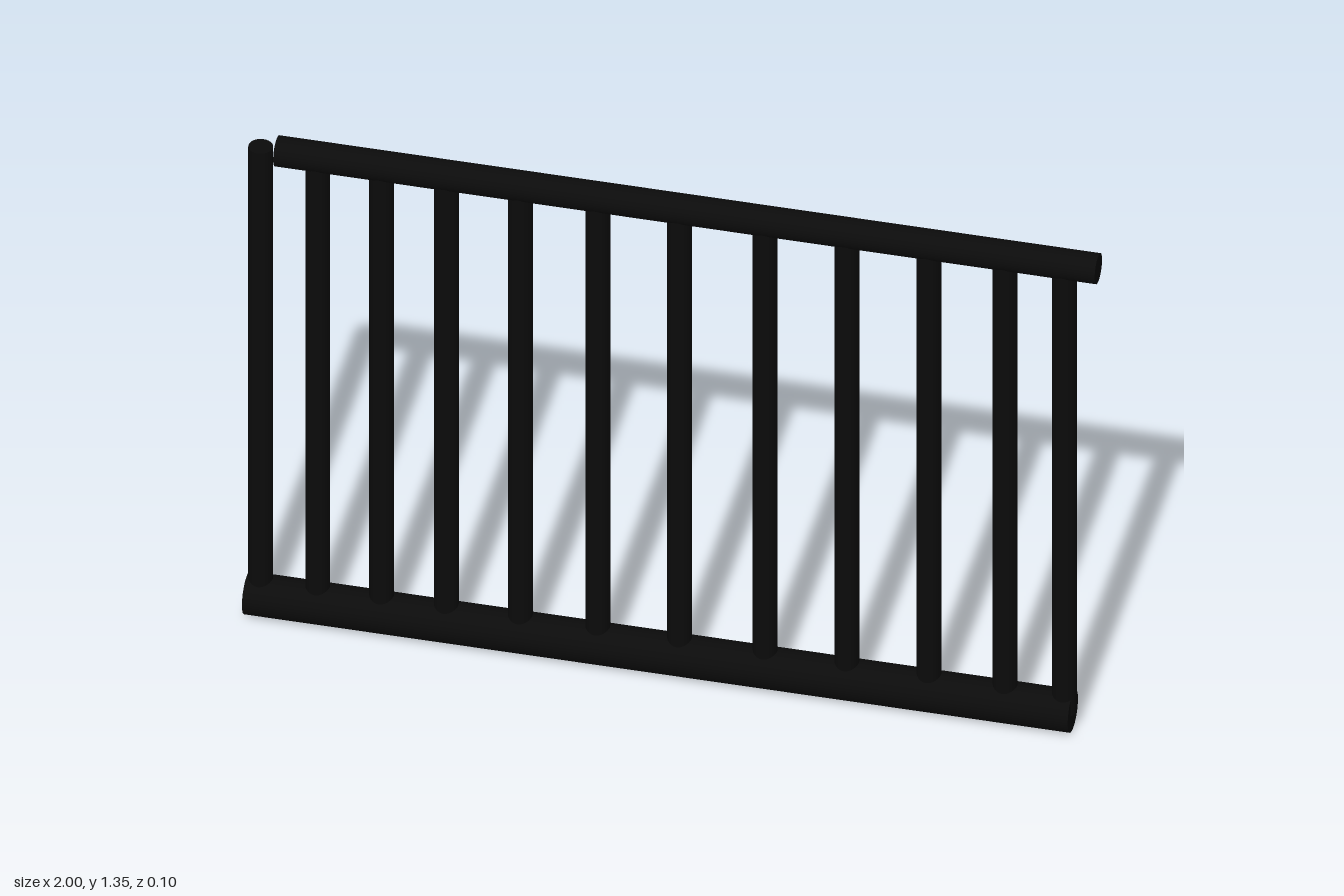
import * as THREE from 'three';

export function createModel() {
  const group = new THREE.Group();
  group.name = 'railing';
  const material = new THREE.MeshStandardMaterial({ color: 0x0b0b0b });

  // Horizontal round bar between two x positions
  function rail(name, x0, x1, y, radius) {
    const geometry = new THREE.CylinderGeometry(radius, radius, x1 - x0, 32);
    geometry.rotateZ(Math.PI / 2);
    const mesh = new THREE.Mesh(geometry, material);
    mesh.name = name;
    mesh.position.set((x0 + x1) / 2, y, 0);
    group.add(mesh);
  }
  rail('bottomRail', -1, 0.94, 0.05, 0.05);
  rail('topRail', -0.93, 1, 1.314, 0.036);

  // Unevenly spaced upright bars, running from the core of one rail to the other
  const bottom = 0.05, top = 1.32;
  const barGeometry = new THREE.CylinderGeometry(0.0285, 0.0285, top - bottom, 24);
  const barX = [-0.968, -0.834, -0.684, -0.532, -0.358, -0.176, 0.016, 0.217, 0.409, 0.602, 0.781, 0.92];
  barX.forEach((x, i) => {
    const bar = new THREE.Mesh(barGeometry, material);
    bar.name = `baluster${i + 1}`;
    bar.position.set(x, (bottom + top) / 2, 0);
    group.add(bar);
  });

  return group;
}
